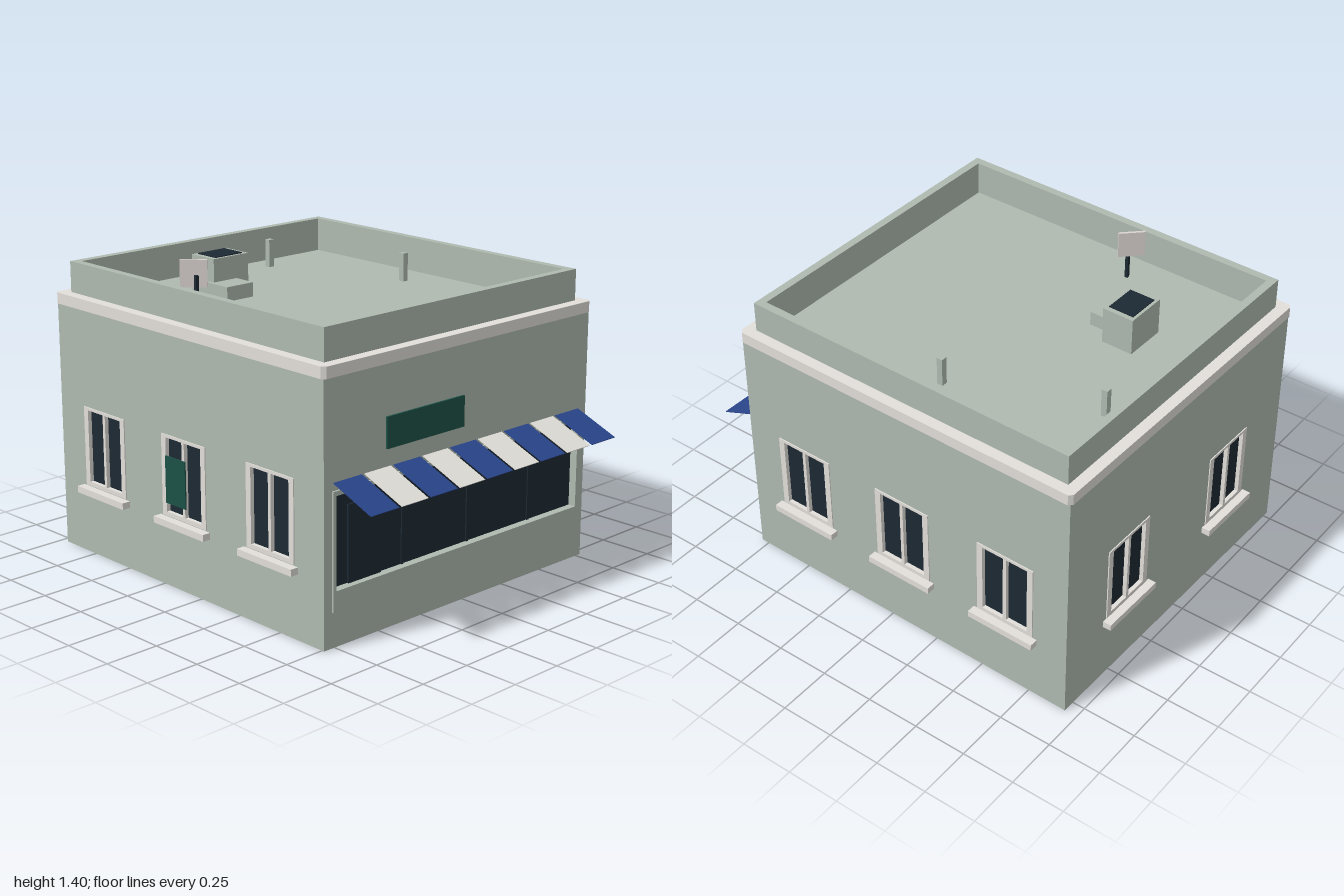
import * as THREE from 'three';

const HW = 0.864, HD = 0.793, T = 0.045, ROOF = 1.163;

export function createModel() {
  const mat = (name, color) => {
    const m = new THREE.MeshStandardMaterial({ color });
    m.name = name;
    return m;
  };
  const wall = mat('sage wall', 0xafbab0);
  const trim = mat('pale trim', 0xe2dfda);
  const grey = mat('warm grey', 0xdad3d0);
  const glass = mat('dark glass', 0x1d2933);
  const green = mat('sign green', 0x1c5146);
  const blue = mat('awning blue', 0x29458a);

  const model = new THREE.Group();
  model.name = 'cornerShop';
  const building = new THREE.Group();
  building.name = 'building';
  building.position.set(-0.089, 0, 0);
  building.rotation.y = -0.0165;
  model.add(building);

  const add = (parent, name, geo, material, x = 0, y = 0, z = 0) => {
    const m = new THREE.Mesh(geo, material);
    m.name = name;
    m.position.set(x, y, z);
    parent.add(m);
    return m;
  };
  const box = (parent, name, material, w, h, d, x, y, z) =>
    add(parent, name, new THREE.BoxGeometry(w, h, d), material, x, y, z);
  const rect = (x0, x1, y0, y1, P = THREE.Path) =>
    new P([[x0, y0], [x1, y0], [x1, y1], [x0, y1]].map(p => new THREE.Vector2(...p)));
  const panel = (shape, holes, depth) => {
    shape.holes.push(...holes);
    return new THREE.ExtrudeGeometry(shape, { depth, bevelEnabled: false });
  };

  // One side of the building; local z = 0 is the outer wall surface
  const side = (name, angle, dist, width, openings) => {
    const g = new THREE.Group();
    g.name = name;
    g.rotation.y = angle;
    g.position.set(Math.sin(angle) * dist, 0, Math.cos(angle) * dist);
    building.add(g);
    const shape = rect(-width / 2, width / 2, 0, 1.15, THREE.Shape);
    add(g, 'wall', panel(shape, openings.map(o => rect(...o)), T), wall, 0, 0, -T);
    return g;
  };

  // Framed double window with a projecting sill
  const opening = u => [u - 0.135, u + 0.135, 0.335, 0.675];
  const addWindow = (parent, u) => {
    const w = new THREE.Group();
    w.name = 'window';
    w.position.x = u;
    parent.add(w);
    const frame = rect(-0.144, 0.144, 0.322, 0.688, THREE.Shape);
    const panes = [rect(-0.115, -0.008, 0.341, 0.675), rect(0.008, 0.115, 0.341, 0.675)];
    add(w, 'windowFrame', panel(frame, panes, 0.03), trim, 0, 0, -0.025);
    box(w, 'windowGlass', glass, 0.26, 0.345, 0.006, 0, 0.507, -0.017);
    box(w, 'windowSill', trim, 0.33, 0.03, 0.05, 0, 0.302, 0.015);
  };
  const three = [-0.548, 0, 0.548], two = [-0.372, 0.372];
  const inner = 2 * (HD - T);
  const front = side('frontSide', 0, HD, 2 * HW, three.map(opening));
  const back = side('backSide', Math.PI, HD, 2 * HW, three.map(opening));
  const left = side('sideWithWindows', -Math.PI / 2, HW, inner, two.map(opening));
  const shop = side('shopSide', Math.PI / 2, HW, inner, [[-0.74, 0.74, 0.2, 0.65]]);
  three.forEach(u => { addWindow(front, u); addWindow(back, u); });
  two.forEach(u => addWindow(left, u));
  box(front, 'windowSign', green, 0.131, 0.212, 0.006, -0.046, 0.49, 0.009);

  // Shopfront with surround, glass, mullions and door
  const surround = rect(-0.75, 0.75, 0.155, 0.665, THREE.Shape);
  add(shop, 'shopSurround', panel(surround, [rect(-0.735, 0.735, 0.245, 0.645)], 0.045), wall, 0, 0, -0.035);
  box(shop, 'shopGlass', glass, 1.48, 0.41, 0.006, 0, 0.445, -0.03);
  for (const u of [-0.33, 0.06, 0.45]) box(shop, 'mullion', glass, 0.012, 0.4, 0.006, u, 0.445, -0.024);
  box(shop, 'shopDoor', glass, 0.183, 0.335, 0.009, -0.55, 0.4125, -0.0225);
  box(shop, 'shopSign', green, 0.45, 0.135, 0.009, -0.228, 0.843, 0.0045);

  // Striped sloping awning
  const awning = new THREE.Group();
  awning.name = 'awning';
  awning.position.set(0, 0.698, 0);
  awning.rotation.x = 0.38;
  shop.add(awning);
  for (let i = 0; i < 9; i++) {
    const even = i % 2 === 0;
    box(awning, 'awningStripe', even ? blue : trim, even ? 0.155 : 0.149, 0.003, 0.228,
      (i - 4) * 0.1662, 0, 0.114);
  }

  // Horizontal rings: cornice with clipped corners, and parapet
  const ring = (name, material, shape, hx, hz, y, h) => {
    const geo = panel(shape, [rect(-hx, hx, -hz, hz)], h);
    geo.rotateX(-Math.PI / 2);
    add(building, name, geo, material, 0, y, 0);
  };
  const a = HW + 0.008, b = HD + 0.008, c = 0.016;
  const clipped = new THREE.Shape([
    [-a + c, -b], [a - c, -b], [a, -b + c], [a, b - c], [a - c, b], [-a + c, b], [-a, b - c], [-a, -b + c],
  ].map(p => new THREE.Vector2(...p)));
  ring('cornice', trim, clipped, 0.8, 0.73, 1.13, 0.05);
  ring('parapet', wall, rect(-0.82, 0.82, -0.75, 0.75, THREE.Shape), 0.783, 0.713, 1.15, 0.17);
  box(building, 'roof', wall, 1.62, 0.04, 1.48, 0, ROOF - 0.02, 0);

  // Roof equipment
  box(building, 'airUnit', wall, 0.15, 0.17, 0.2, -0.44, ROOF + 0.085, 0.205);
  box(building, 'airUnitGrille', glass, 0.122, 0.005, 0.155, -0.44, ROOF + 0.1715, 0.205);
  box(building, 'airDuct', wall, 0.145, 0.065, 0.15, -0.326, ROOF + 0.0325, 0.249);
  for (const [x, z] of [[-0.018, -0.534], [-0.668, -0.292]]) {
    box(building, 'ventPost', wall, 0.028, 0.13, 0.028, x, ROOF + 0.065, z);
  }
  box(building, 'antennaPole', glass, 0.015, 0.17, 0.015, -0.169, ROOF + 0.085, 0.566);
  box(building, 'antennaPlate', grey, 0.118, 0.12, 0.012, -0.184, 1.34, 0.568).rotation.y = 0.785;

  // Floor slab with lamps on its underside
  box(building, 'floorSlab', grey, 2 * (HW - T), 0.02, inner, 0, 0.18, 0);
  for (const x of [-0.06, 0.21, 0.48]) {
    for (const z of [-0.48, 0, 0.48]) {
      box(building, 'underfloorLamp', grey, 0.13, 0.02, 0.36, x, 0.16, z);
    }
  }
  return model;
}
